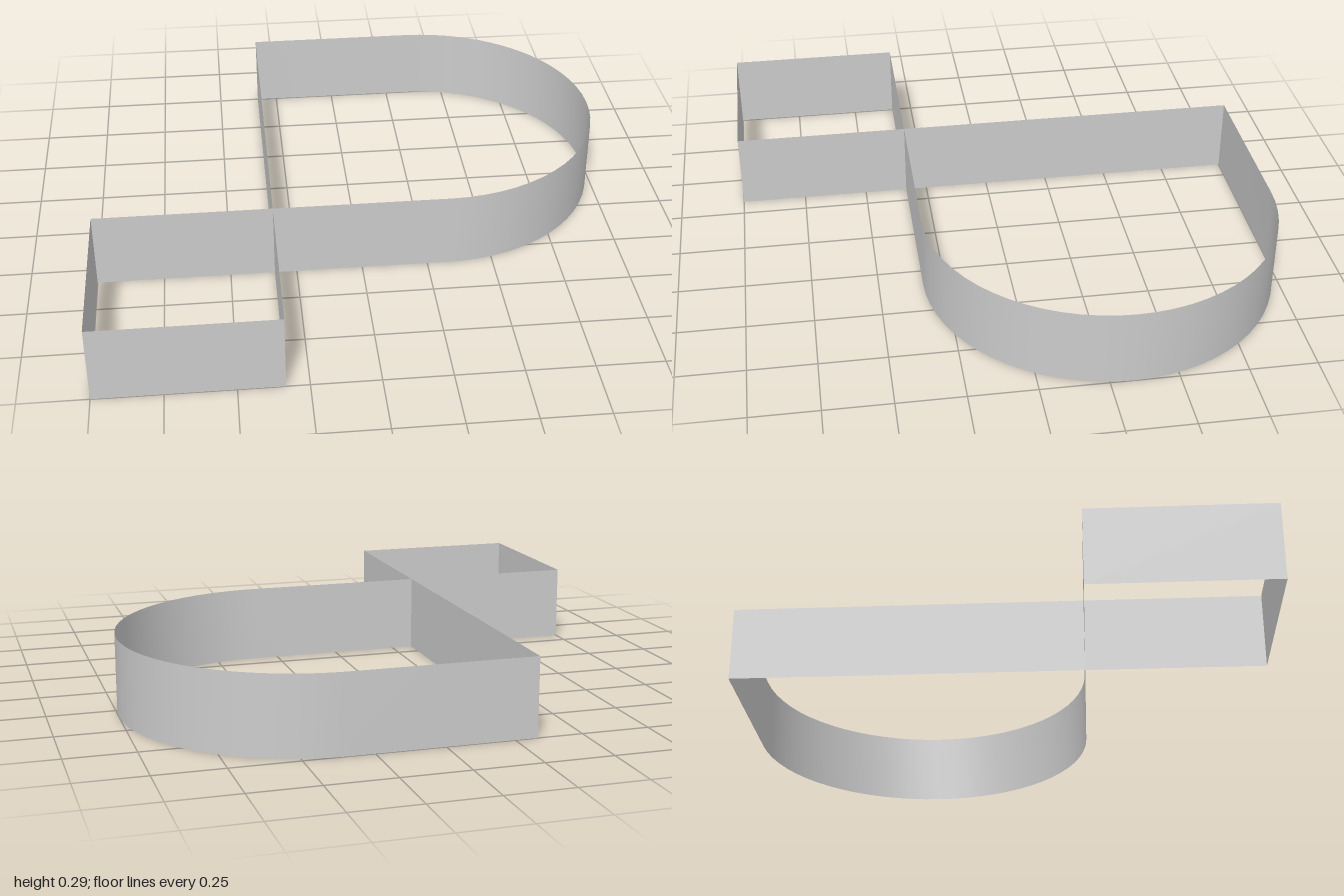
import * as THREE from 'three';
import { toCreasedNormals } from 'three/addons/utils/BufferGeometryUtils.js';

const HEIGHT = 0.29;
const T = 1 / 3;

// Upright, open strip following a closed path of [x, z] points
function ribbon(path) {
  const position = [];
  const index = [];
  path.forEach(([x, z], i) => {
    position.push(x, 0, z, x, HEIGHT, z);
    const a = i * 2;
    const b = ((i + 1) % path.length) * 2;
    index.push(a, b, b + 1, a, b + 1, a + 1);
  });
  const geometry = new THREE.BufferGeometry();
  geometry.setAttribute('position', new THREE.Float32BufferAttribute(position, 3));
  geometry.setIndex(index);
  return toCreasedNormals(geometry, Math.PI / 5);
}

export function createModel() {
  const group = new THREE.Group();
  const material = new THREE.MeshStandardMaterial({ color: 0xcccccc, side: THREE.DoubleSide });
  const add = (name, path) => {
    const mesh = new THREE.Mesh(ribbon(path), material);
    mesh.name = name;
    group.add(mesh);
  };

  // Small square loop, listed so its walls face outward
  add('squareLoop', [[-1, T], [-1, 1], [-T, 1], [-T, T]]);

  // Large loop: square inner corners and a half-round end
  const arc = [];
  const steps = 32;
  for (let i = 0; i <= steps; i++) {
    const t = Math.PI / 2 - (Math.PI * i) / steps;
    arc.push([T + 2 * T * Math.cos(t), -T + 2 * T * Math.sin(t)]);
  }
  add('roundedLoop', [[-T, T], ...arc, [-T, -1]]);

  return group;
}
